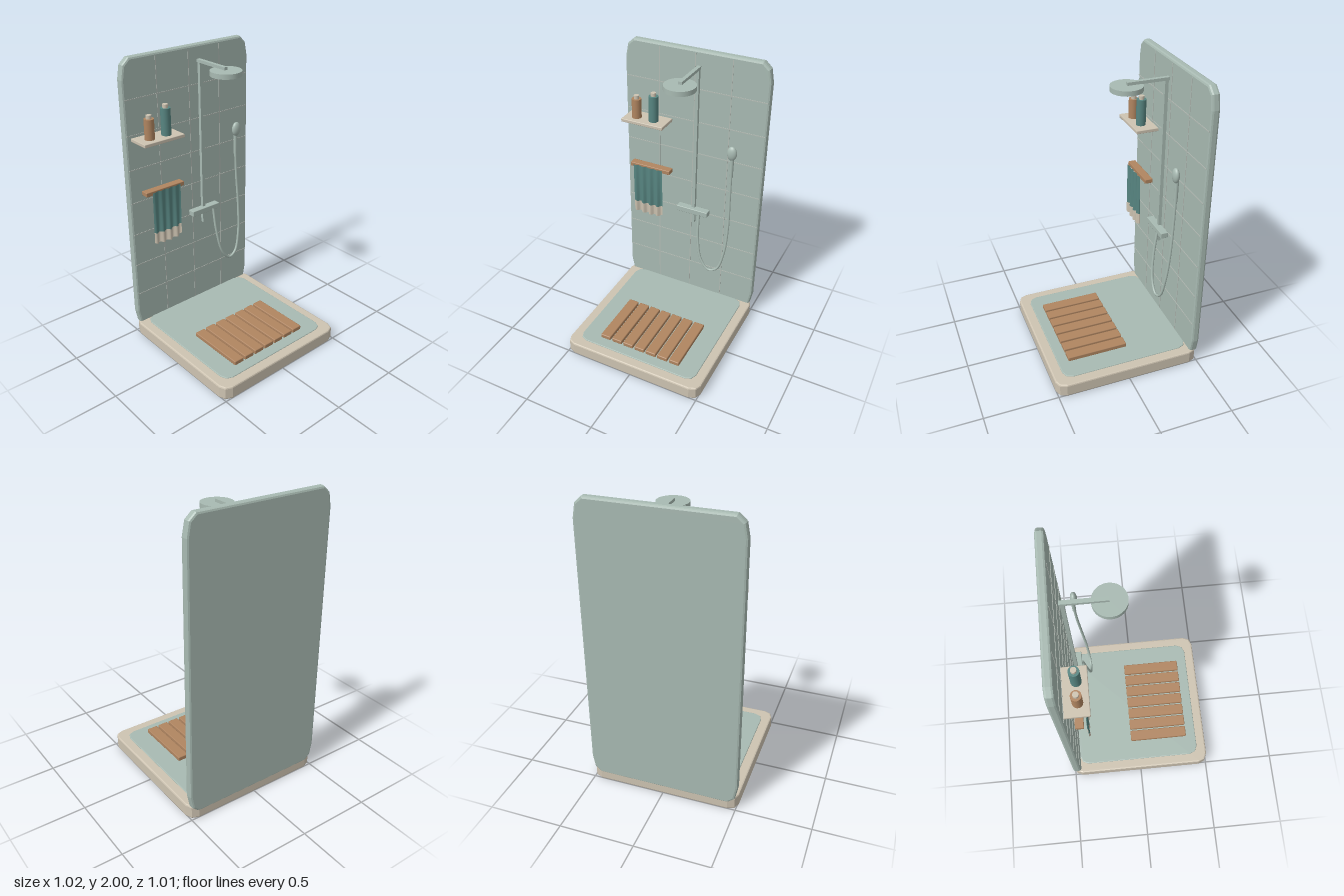
import * as THREE from 'three';
import { RoundedBoxGeometry } from 'three/addons/geometries/RoundedBoxGeometry.js';

export function createModel() {
  const model = new THREE.Group();
  model.name = 'showerCorner';

  const material = (name, color, side = THREE.FrontSide) => {
    const m = new THREE.MeshStandardMaterial({ color, side });
    m.name = name;
    return m;
  };
  const sage = material('sage', 0xa8bab2);
  const stone = material('stone', 0xcdc3b1);
  const wood = material('wood', 0xb08560);
  const teal = material('teal', 0x578581);
  const grout = material('grout', 0xb4bcb5);
  const tealCloth = material('tealCloth', 0x578581, THREE.DoubleSide);
  const stoneCloth = material('stoneCloth', 0xcdc3b1, THREE.DoubleSide);

  const add = (name, geometry, mat, x = 0, y = 0, z = 0) => {
    const mesh = new THREE.Mesh(geometry, mat);
    mesh.name = name;
    mesh.position.set(x, y, z);
    model.add(mesh);
    return mesh;
  };

  // Slab with two-facet corners and a soft bevel, centred, thickness along z
  const slab = (w, h, depth, rx, ry, bevel) => {
    const a = w / 2 - bevel, b = h / 2 - bevel, s = new THREE.Shape();
    s.moveTo(a, -b + ry);
    s.absellipse(a - rx, b - ry, rx, ry, 0, Math.PI / 2);
    s.absellipse(-a + rx, b - ry, rx, ry, Math.PI / 2, Math.PI);
    s.absellipse(-a + rx, -b + ry, rx, ry, Math.PI, Math.PI * 1.5);
    s.absellipse(a - rx, -b + ry, rx, ry, Math.PI * 1.5, Math.PI * 2);
    const g = new THREE.ExtrudeGeometry(s, {
      depth: depth - 2 * bevel, curveSegments: 1, steps: 1,
      bevelEnabled: true, bevelSize: bevel, bevelThickness: bevel, bevelSegments: 2,
    });
    return g.translate(0, 0, bevel - depth / 2);
  };

  // Tray and inset floor
  add('tray', slab(1.02, 1.01, 0.09, 0.055, 0.055, 0.01).rotateX(-Math.PI / 2), stone, 0, 0.05, 0);
  model.children[0].position.y = 0.047;
  model.children[0].scale.y = 1.04;
  add('trayFloor', slab(0.89, 0.89, 0.03, 0.055, 0.055, 0.005).rotateX(-Math.PI / 2), sage, 0, 0.085, -0.007);

  // Back wall with grout lines
  add('backWall', slab(1.02, 1.95, 0.055, 0.055, 0.12, 0.014), sage, 0, 1.025, -0.4785);
  for (let i = 0; i < 7; i++) {
    add('horizontalGrout', new THREE.BoxGeometry(1.0, 0.006, 0.006), grout, 0, 0.33 + i * 0.235, -0.451);
  }
  for (const x of [-0.255, 0, 0.255]) {
    add('verticalGrout', new THREE.BoxGeometry(0.006, 1.88, 0.006), grout, x, 1.04, -0.4515);
  }

  // Duckboard slats
  for (let i = -3; i <= 3; i++) {
    add('floorSlat', new RoundedBoxGeometry(0.076, 0.032, 0.42, 1, 0.006), wood, i * 0.0893, 0.113, 0.155);
  }

  // Riser, arm, rain head and mixer
  const px = 0.047;
  add('riser', new THREE.BoxGeometry(0.023, 1.17, 0.023), sage, px, 1.335, -0.388);
  add('showerArm', new THREE.BoxGeometry(0.026, 0.02, 0.275), sage, px, 1.91, -0.268);
  add('rainHead', new THREE.CylinderGeometry(0.102, 0.102, 0.032, 40), sage, px, 1.885, -0.13);
  add('mixer', new RoundedBoxGeometry(0.235, 0.04, 0.052, 1, 0.004), sage, px, 0.855, -0.375);

  // Hand shower and hose
  const hand = add('handShowerHead', new THREE.SphereGeometry(1, 24, 16), sage, 0.322, 1.393, -0.349);
  hand.scale.set(0.034, 0.05, 0.022);
  add('handShowerHandle', new THREE.CylinderGeometry(0.014, 0.012, 0.15, 16), sage, 0.322, 1.285, -0.358);
  const hosePath = new THREE.CatmullRomCurve3([
    [0.105, 0.85, -0.348], [0.112, 0.68, -0.325], [0.15, 0.5, -0.306],
    [0.215, 0.427, -0.303], [0.275, 0.455, -0.308], [0.318, 0.6, -0.32],
    [0.331, 0.82, -0.338], [0.325, 1.05, -0.352], [0.322, 1.22, -0.358],
  ].map(p => new THREE.Vector3(...p)));
  add('hose', new THREE.TubeGeometry(hosePath, 64, 0.009, 10), sage);

  // Shelf with two bottles
  add('shelf', new RoundedBoxGeometry(0.31, 0.023, 0.158, 1, 0.004), stone, -0.315, 1.477, -0.375);
  const bottle = (name, x, height, mat) => {
    add(name, new THREE.CylinderGeometry(0.033, 0.033, height, 28), mat, x, 1.488 + height / 2, -0.365);
    add(name + 'Cap', new THREE.CylinderGeometry(0.018, 0.018, 0.024, 20), stone, x, 1.5 + height, -0.365);
  };
  bottle('woodBottle', -0.385, 0.136, wood);
  bottle('tealBottle', -0.257, 0.18, teal);

  // Towel rail
  add('towelRail', new RoundedBoxGeometry(0.305, 0.03, 0.056, 1, 0.004), wood, -0.287, 1.113, -0.385);

  // Towel: pleated sheet whose folds deepen towards a curved hem
  const cloth = (t0, t1) => {
    const g = new THREE.PlaneGeometry(1, 1, 40, 10), p = g.attributes.position;
    for (let i = 0; i < p.count; i++) {
      const u = p.getX(i) + 0.5, t = t0 + (t1 - t0) * (0.5 - p.getY(i));
      const hem = 0.738 + 0.05 * (u - 0.5) ** 2 + 0.004 * Math.cos(u * Math.PI * 8);
      const fold = Math.sin(u * Math.PI * 8) * (0.004 + 0.007 * t);
      p.setXYZ(i, -0.405 + 0.225 * u, 1.127 + (hem - 1.127) * t, -0.338 + fold - 0.006 * t);
    }
    g.computeVertexNormals();
    return g;
  };
  add('towel', cloth(0, 0.79), tealCloth);
  add('towelBand', cloth(0.79, 1), stoneCloth);

  return model;
}
